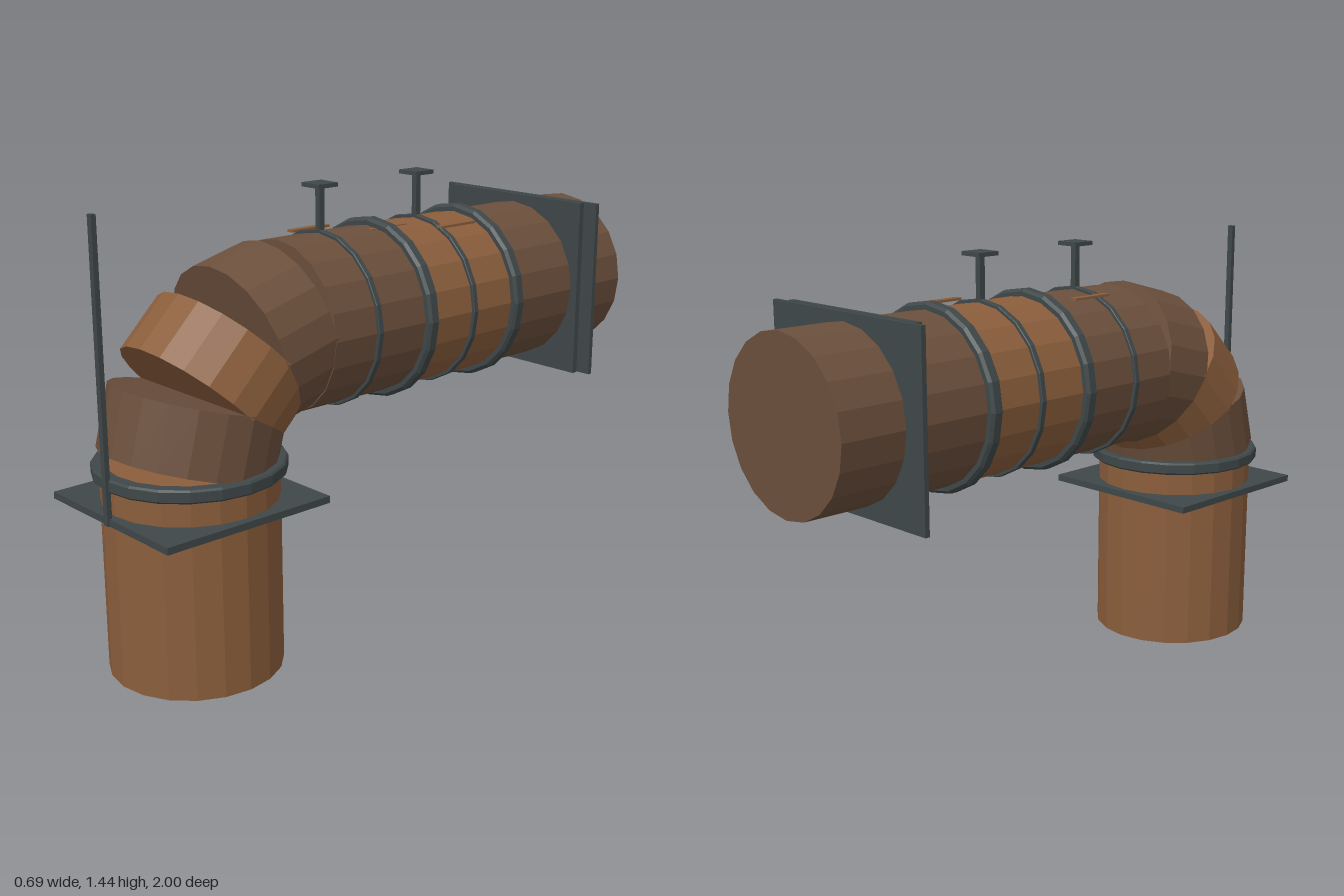
import * as THREE from 'three';

const SIDES = 20, R = 0.273;
const BEND = { y: 0.665, z: 0.345, r: 0.35 }; // elbow pivot and bend radius
const AXIS_Y = BEND.y + BEND.r, AXIS_Z = BEND.z + BEND.r;

export function createModel() {
  const flat = (name, color) => {
    const m = new THREE.MeshStandardMaterial({ color, flatShading: true });
    m.name = name;
    return m;
  };
  const copper = flat('copper brown', 0x8b5e3c);
  const rust = flat('dull brown', 0x6b4f3c);
  const steel = flat('dark steel', 0x3f4748);

  const group = new THREE.Group();
  const add = (name, geometry, material, x, y, z, tilt = 0) => {
    const mesh = new THREE.Mesh(geometry, material);
    mesh.name = name;
    mesh.position.set(x, y, z);
    mesh.rotation.x = tilt;
    group.add(mesh);
    return mesh;
  };
  const box = (name, material, w, h, d, x, y, z) =>
    add(name, new THREE.BoxGeometry(w, h, d), material, x, y, z);
  const pipe = (length) => new THREE.CylinderGeometry(R, R, length, SIDES);

  // closed band around the pipe, with a chamfered outer edge
  const band = (outer, width, chamfer) => {
    const h = width / 2, inner = R - 0.015;
    const profile = [
      [inner, -h], [outer - chamfer, -h], [outer, -h + chamfer],
      [outer, h - chamfer], [outer - chamfer, h], [inner, h],
    ].map(([x, y]) => new THREE.Vector2(x, y));
    return new THREE.LatheGeometry(profile, SIDES);
  };

  // upright pipe
  add('uprightPipe', pipe(BEND.y), copper, 0, BEND.y / 2, AXIS_Z);
  add('uprightCollar', band(0.297, 0.042, 0.006), steel, 0, 0.651, AXIS_Z);
  box('uprightFlange', steel, 0.596, 0.022, 0.596, 0, 0.541, AXIS_Z);
  box('frontRod', steel, 0.02, 0.91, 0.016, 0, 0.985, 0.992);

  // elbow: three short drums fanned around the pivot
  [15, 45, 75].forEach((deg, i) => {
    const a = THREE.MathUtils.degToRad(deg);
    add('elbowSegment' + (i + 1), pipe(0.2), i === 1 ? copper : rust,
      0, BEND.y + BEND.r * Math.sin(a), BEND.z + BEND.r * Math.cos(a), -a);
  });

  // horizontal run in three lengths
  [[0.345, -0.05, rust], [-0.05, -0.45, copper], [-0.45, -1, rust]].forEach(([z0, z1, m], i) =>
    add('runPipe' + (i + 1), pipe(z0 - z1), m, 0, AXIS_Y, (z0 + z1) / 2, -Math.PI / 2));

  // thick joint rings
  for (const z of [-0.05, -0.45])
    add('jointRing', band(0.297, 0.045, 0.009), steel, 0, AXIS_Y, z, -Math.PI / 2);

  // hanger straps with a post and a mounting pad
  for (const z of [0.17, -0.25]) {
    add('hangerStrap', band(0.284, 0.02, 0.002), steel, 0, AXIS_Y, z, -Math.PI / 2);
    box('hangerPost', steel, 0.02, 0.17, 0.02, 0, 1.355, z);
    box('hangerPad', steel, 0.08, 0.013, 0.08, 0, 1.438, z);
  }

  // double wall plate at the back
  box('wallPlateFront', steel, 0.596, 0.596, 0.02, 0, AXIS_Y + 0.002, -0.745);
  box('wallPlateBack', steel, 0.69, 0.596, 0.016, 0, AXIS_Y + 0.002, -0.77);

  // loose metal flakes along the top
  for (const [x, z] of [[0.15, -0.285], [0.037, -0.08], [-0.12, 0.115]])
    box('topFlake', copper, 0.025, 0.008, 0.155, x, 1.279, z);

  return group;
}
